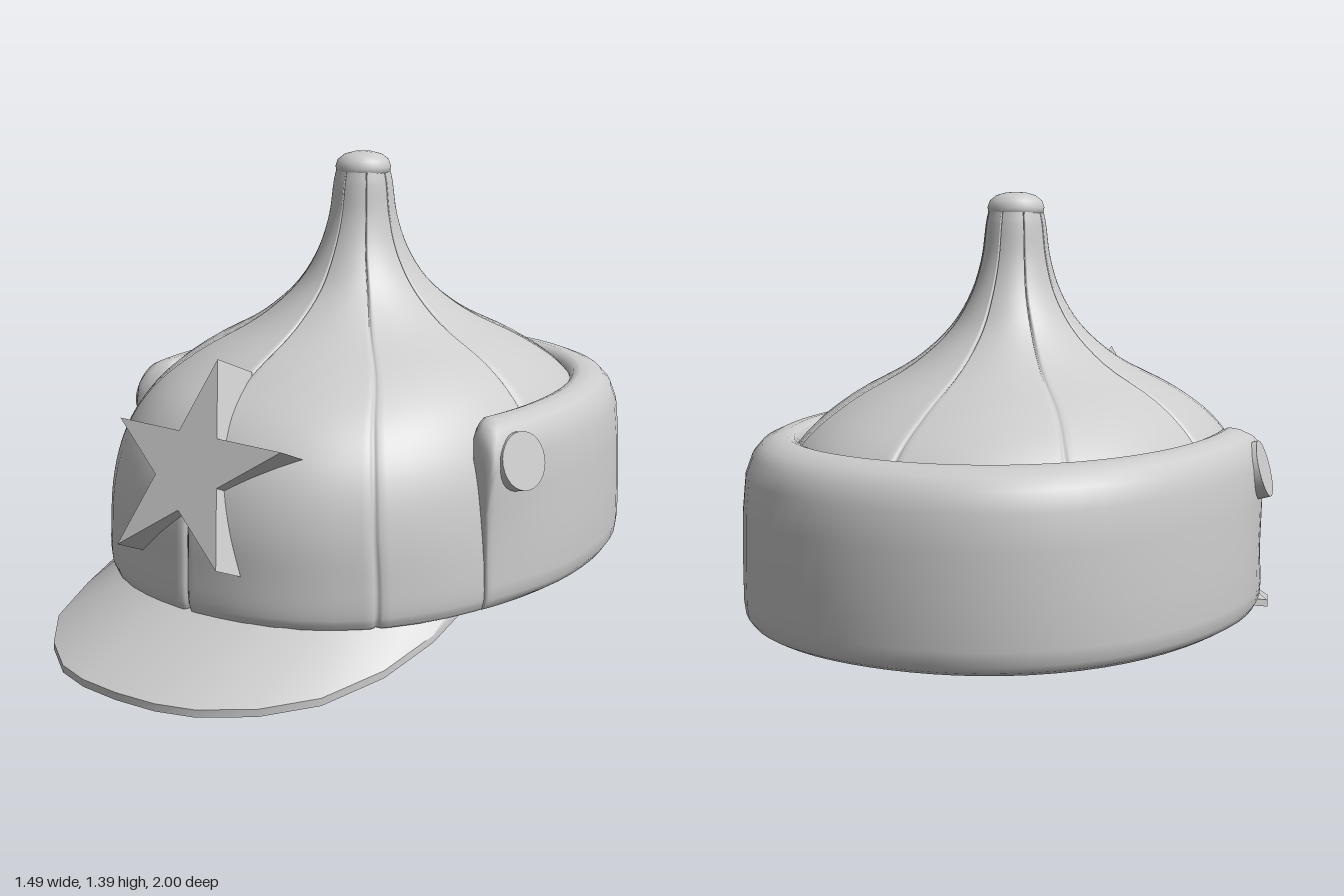
import * as THREE from 'three';
import { toCreasedNormals } from 'three/addons/utils/BufferGeometryUtils.js';

const CZ = -0.115; // z of the crown axis
const felt = new THREE.MeshStandardMaterial({ color: 0xcccccc, side: THREE.DoubleSide });
felt.name = 'greyFelt';

// Point on a slightly squared oval ring round the crown axis, angle measured from the front
function oval(a, rx, y, rz) {
  const bulge = 1 + 0.034 * Math.sin(2 * a) ** 2 * Math.min(1, rx / 0.69);
  return [rx * bulge * Math.sin(a), y, CZ + rz * bulge * Math.cos(a)];
}

// Surface through a grid of points: rows run upward, columns run to the left side
function loft(rows) {
  const n = rows[0].length, pos = [], index = [];
  rows.forEach((row) => row.forEach((p) => pos.push(...p)));
  for (let i = 0; i < rows.length - 1; i++) {
    for (let j = 0; j < n - 1; j++) {
      const a = i * n + j, b = a + 1, c = a + n, d = c + 1;
      index.push(a, b, d, a, d, c);
    }
  }
  const g = new THREE.BufferGeometry();
  g.setAttribute('position', new THREE.Float32BufferAttribute(pos, 3));
  g.setIndex(index);
  g.computeVertexNormals();
  return g;
}

function add(group, name, geometry) {
  const mesh = new THREE.Mesh(geometry, felt);
  mesh.name = name;
  group.add(mesh);
  return mesh;
}

// Crown profile: half width, height, half depth
const profile = new THREE.CatmullRomCurve3([
  [0.681, 0.164, 0.816], [0.692, 0.195, 0.826], [0.69, 0.3, 0.826], [0.677, 0.42, 0.822],
  [0.655, 0.53, 0.797], [0.62, 0.62, 0.754], [0.56, 0.71, 0.675], [0.46, 0.8, 0.53],
  [0.29, 0.9, 0.335], [0.185, 1.0, 0.21], [0.127, 1.1, 0.147], [0.099, 1.2, 0.109],
  [0.087, 1.3, 0.092], [0.08, 1.335, 0.084],
].map((p) => new THREE.Vector3(...p))).getPoints(52);

function crownAt(y) {
  const i = Math.max(1, profile.findIndex((p) => p.y >= y));
  const a = profile[i - 1], b = profile[i];
  const t = THREE.MathUtils.clamp((y - a.y) / (b.y - a.y), 0, 1);
  return a.clone().lerp(b, t);
}

// Eight-panel crown with narrow seam grooves and a rolled bottom rim
function crownGeometry() {
  const steps = [0, 0.012, 0.026, 0.06, 0.2, 0.35, 0.5, 0.65, 0.8, 0.94, 0.974, 0.988];
  const angles = [];
  for (let k = 0; k < 8; k++) steps.forEach((t) => angles.push([(k + t) * Math.PI / 4, Math.min(t, 1 - t)]));
  angles.push([Math.PI * 2, 0]);
  const ring = (rx, y, rz) => angles.map(([a, t]) => {
    const d = Math.min(0.012, 0.07 * rx) * Math.max(0, 1 - t / 0.024);
    return oval(a, rx - d, y, rz - d);
  });
  return loft([ring(0.65, 0.176, 0.77), ring(0.664, 0.164, 0.79),
    ...profile.map((p) => ring(p.x, p.y, p.z))]);
}

// Plain domed lining inside the crown
function liningGeometry() {
  const rows = [];
  for (let i = 0; i <= 20; i++) {
    const e = i / 20 * Math.PI / 2, r = Math.cos(e), row = [];
    for (let j = 0; j <= 64; j++) {
      row.push(oval(-j / 32 * Math.PI, 0.65 * r, 0.176 + 0.73 * Math.sin(e), 0.77 * r));
    }
    rows.push(row);
  }
  return loft(rows);
}

// Turned-up flap round the sides and back; its front ends thin out toward the bottom
function bandGeometry() {
  const section = [[0.185, -0.03], [0.17, -0.018], [0.163, 0], [0.166, 0.016], [0.179, 0.032], [0.2, 0.041],
    [0.24, 0.045], [0.35, 0.05], [0.5, 0.067], [0.6, 0.092], [0.655, 0.104], [0.685, 0.101], [0.7, 0.082],
    [0.705, 0.055], [0.697, 0.028], [0.68, 0.005], [0.65, -0.02]];
  // angle in degrees, height factor, thickness factor
  const ends = [[69, 0.8, 0], [69.1, 0.83, 0.45], [69.5, 0.88, 0.72], [70.4, 0.94, 0.9],
    [72, 0.98, 0.98], [74, 1, 1], [77, 1, 1]];
  const cols = [...ends];
  for (let a = 80; a <= 280; a += 5) cols.push([a, 1, 1]);
  [...ends].reverse().forEach(([a, k, m]) => cols.push([360 - a, k, m]));
  return loft(section.map(([y0, off]) => cols.map(([deg, k, m]) => {
    const y = 0.165 + (y0 - 0.165) * k, c = crownAt(y);
    const low = 1 - THREE.MathUtils.smoothstep(y0, 0.35, 0.66);
    const taper = 0.35 + 0.65 * THREE.MathUtils.smoothstep(Math.min(deg, 360 - deg), 66, 92);
    const o = off > 0 ? off * m * (1 + (taper - 1) * low) : off;
    return oval(THREE.MathUtils.degToRad(deg), c.x + o, y, c.z + o * 1.15);
  })));
}

// Visor: from the crown rim down to a curved outer edge
function visorGeometry() {
  const half = [[0, 1.0, 0.022], [0.135, 0.99, 0.022], [0.25, 0.955, 0.023], [0.386, 0.86, 0.028],
    [0.5, 0.73, 0.045], [0.568, 0.54, 0.078], [0.598, 0.35, 0.128], [0.602, 0.2, 0.184]];
  const edge = [...half.slice(1).reverse().map(([x, z, y]) => [-x, y, z]), ...half.map(([x, z, y]) => [x, y, z])];
  const rim = edge.map((_, i) => oval((i - 7) / 7 * 1.1, 0.65, 0.178, 0.8));
  const lower = (pts) => pts.map(([x, y, z]) => [x, y - 0.022, z]);
  return toCreasedNormals(loft([lower(rim), lower(edge), edge, rim]), 0.6);
}

// Five-pointed star block
function starGeometry() {
  const shape = new THREE.Shape();
  for (let i = 0; i < 10; i++) {
    const r = i % 2 ? 0.12 : 0.3145, a = i * Math.PI / 5;
    shape[i ? 'lineTo' : 'moveTo'](r * Math.sin(a), r * Math.cos(a));
  }
  shape.closePath();
  return new THREE.ExtrudeGeometry(shape, { depth: 0.16, bevelEnabled: false }).translate(0, 0, -0.16);
}

export function createModel() {
  const hat = new THREE.Group();
  hat.name = 'peakedHat';

  add(hat, 'crown', crownGeometry());
  add(hat, 'lining', liningGeometry());
  add(hat, 'turnedUpFlap', bandGeometry());
  add(hat, 'visor', visorGeometry());

  const star = add(hat, 'starBadge', starGeometry());
  star.position.set(0, 0.583, 0.687);
  star.rotation.x = -0.417;

  // Knob on the tip
  const knobProfile = [[0, 1.318], [0.07, 1.32], [0.081, 1.33], [0.084, 1.346], [0.077, 1.366],
    [0.058, 1.381], [0.03, 1.389], [0, 1.391]].map((p) => new THREE.Vector2(...p));
  add(hat, 'tipKnob', new THREE.LatheGeometry(knobProfile, 32)).position.z = CZ;

  // Side buttons
  for (const side of [1, -1]) {
    const button = add(hat, side > 0 ? 'leftButton' : 'rightButton',
      new THREE.CylinderGeometry(0.084, 0.084, 0.05, 28));
    button.position.set(side * 0.692, 0.586, 0.08);
    button.quaternion.setFromUnitVectors(new THREE.Vector3(0, 1, 0),
      new THREE.Vector3(side, 0.28, 0.2).normalize());
  }
  return hat;
}
